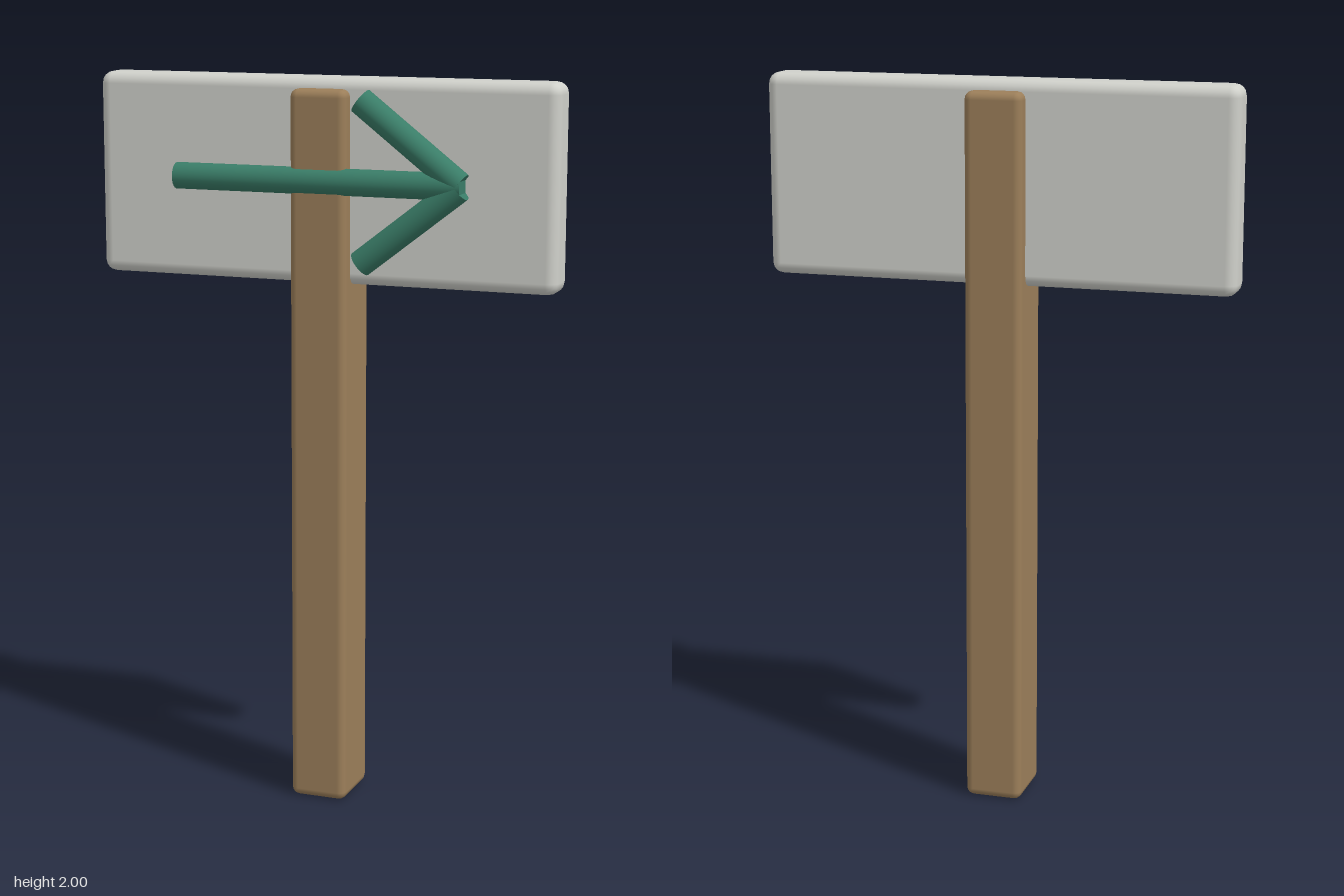
import * as THREE from 'three';
import { RoundedBoxGeometry } from 'three/addons/geometries/RoundedBoxGeometry.js';

const wood = new THREE.MeshStandardMaterial({ name: 'wood brown', color: 0x9c7f5a });
const panel = new THREE.MeshStandardMaterial({ name: 'pale grey', color: 0xd0d1cb });
const paint = new THREE.MeshStandardMaterial({ name: 'arrow green', color: 0x3a7d68 });

// Soft-edged block spanning two opposite corners
function block(name, material, min, max, radius) {
  const size = max.map((v, i) => v - min[i]);
  const mesh = new THREE.Mesh(new RoundedBoxGeometry(...size, 2, radius), material);
  mesh.position.set(...max.map((v, i) => (v + min[i]) / 2));
  mesh.name = name;
  return mesh;
}

// Straight round bar between two points in the arrow's plane
function bar(name, x0, y0, x1, y1) {
  const a = new THREE.Vector3(x0, y0, 0);
  const b = new THREE.Vector3(x1, y1, 0);
  const mesh = new THREE.Mesh(new THREE.CylinderGeometry(0.036, 0.036, a.distanceTo(b), 24), paint);
  mesh.position.copy(a).lerp(b, 0.5);
  mesh.quaternion.setFromUnitVectors(new THREE.Vector3(0, 1, 0), b.sub(a).normalize());
  mesh.name = name;
  return mesh;
}

export function createModel() {
  const model = new THREE.Group();
  model.name = 'signpost';

  // Post passes through the board and shows on both sides
  model.add(block('post', wood, [-0.08, 0, -0.105], [0.08, 1.97, 0.085], 0.022));
  model.add(block('board', panel, [-0.65, 1.45, -0.063], [0.65, 2, 0.046], 0.032));

  // Arrow: shaft and two mirrored head strokes, half sunk in the board
  const arrow = new THREE.Group();
  arrow.name = 'arrow';
  arrow.position.set(0, 1.728, 0.068);
  arrow.add(bar('arrowShaft', -0.41, 0, 0.4, 0));
  for (const s of [1, -1]) {
    arrow.add(bar(s > 0 ? 'upperHeadStroke' : 'lowerHeadStroke', 0.117, s * 0.215, 0.39, s * 0.004));
  }
  model.add(arrow);
  return model;
}
